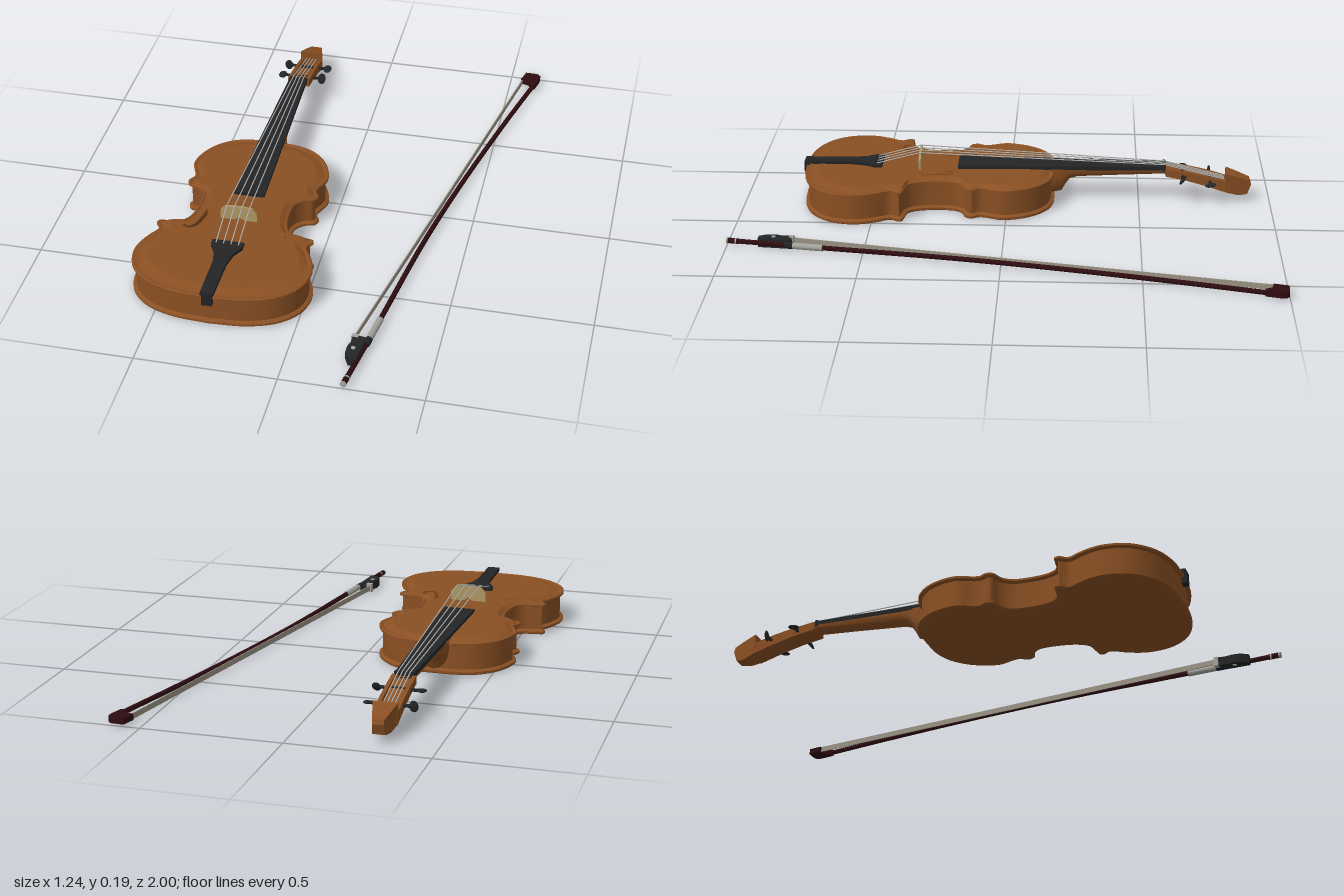
import * as THREE from 'three';
import { toCreasedNormals } from 'three/addons/utils/BufferGeometryUtils.js';

const V2 = (x, y) => new THREE.Vector2(x, y);
const V3 = (x, y, z) => new THREE.Vector3(x, y, z);
const mat = (name, color, side = THREE.FrontSide) => {
  const m = new THREE.MeshStandardMaterial({ color, side });
  m.name = name;
  return m;
};

// Closed loops of points joined into a skin
function loft(rings, crease = 0.7) {
  const n = rings[0].length, pos = [], idx = [];
  rings.forEach(r => r.forEach(p => pos.push(p.x, p.y, p.z)));
  for (let i = 0; i < rings.length - 1; i++) {
    for (let j = 0; j < n; j++) {
      const a = i * n + j, b = i * n + (j + 1) % n;
      idx.push(a, a + n, b, b, a + n, b + n);
    }
  }
  const g = new THREE.BufferGeometry();
  g.setAttribute('position', new THREE.Float32BufferAttribute(pos, 3));
  g.setIndex(idx);
  return toCreasedNormals(g, crease);
}

const shapeXZ = pts => new THREE.Shape(pts.map(([x, z]) => V2(x, -z)));

// Plate outlined in x, z between two heights
function slab(pts, y0, y1) {
  return new THREE.ExtrudeGeometry(shapeXZ(pts), { depth: y1 - y0, bevelEnabled: false })
    .rotateX(-Math.PI / 2).translate(0, y0, 0);
}

// Plate outlined in z, y with a thickness along x
function sidePlate(pts, width, x = 0) {
  const s = new THREE.Shape(pts.map(([z, y]) => V2(z, y)));
  return new THREE.ExtrudeGeometry(s, { depth: width, bevelEnabled: false })
    .translate(0, 0, -width / 2).rotateY(-Math.PI / 2).translate(x, 0, 0);
}

function rod(a, b, r0, r1 = r0, sides = 10) {
  const d = b.clone().sub(a);
  const g = new THREE.CylinderGeometry(r1, r0, d.length(), sides);
  g.applyQuaternion(new THREE.Quaternion().setFromUnitVectors(V3(0, 1, 0), d.clone().normalize()));
  const c = a.clone().add(b).multiplyScalar(0.5);
  return g.translate(c.x, c.y, c.z);
}

const mirrored = pts => [...pts, ...pts.slice().reverse().map(([x, z]) => [-x, z])];

export function createModel() {
  const wood = mat('varnished wood', 0x8a5023, THREE.DoubleSide);
  const ebony = mat('ebony', 0x222426);
  const maple = mat('pale maple', 0xb09865);
  const steel = mat('string steel', 0xb4b4b2);
  const stickWood = mat('dark red wood', 0x2e0c10);
  const silver = mat('silver', 0xa3a39c);
  const hairMat = mat('bow hair', 0x9a9284, THREE.DoubleSide);

  const model = new THREE.Group();
  const violin = new THREE.Group(), bow = new THREE.Group();
  violin.name = 'violin';
  bow.name = 'bow';
  violin.position.x = -0.3;
  model.add(violin, bow);
  const add = (parent, name, geo, material) => {
    const m = new THREE.Mesh(geo, material);
    m.name = name;
    parent.add(m);
    return m;
  };

  // Body outline: one half as a spline, then mirrored
  const half = new THREE.CatmullRomCurve3([
    [0, -0.178], [0.08, -0.175], [0.15, -0.155], [0.21, -0.105], [0.245, -0.04], [0.255, 0.02], [0.23, 0.095],
    [0.245, 0.127], [0.235, 0.153], [0.2, 0.165], [0.173, 0.195], [0.166, 0.25], [0.177, 0.33], [0.203, 0.368],
    [0.256, 0.38], [0.283, 0.386], [0.287, 0.402], [0.27, 0.43], [0.293, 0.475], [0.315, 0.53], [0.32, 0.585],
    [0.298, 0.66], [0.235, 0.725], [0.135, 0.763], [0, 0.775],
  ].map(([x, z]) => V3(x, 0, z)), false, 'centripetal').getPoints(120);
  const outline = [...half, ...half.slice(1, -1).reverse().map(p => V3(-p.x, 0, p.z))];
  const N = outline.length;

  // Outline moved outward by a distance
  const ring = (off, y) => outline.map((p, i) => {
    const t = outline[(i + 1) % N].clone().sub(outline[(i + N - 1) % N]).normalize();
    return V3(p.x + t.z * off, y, p.z - t.x * off);
  });
  // Outline shrunk toward the middle for the arching
  const shrunk = (s, y) => outline.map(({ x, z }) =>
    V3(x * s, y, z < 0.1 ? 0.1 + (z - 0.1) * s : z > 0.45 ? 0.45 + (z - 0.45) * s : z));
  const flat = (r, y, holes = []) => {
    const s = shapeXZ(r.map(p => [p.x, p.z]));
    s.holes = holes;
    return new THREE.ShapeGeometry(s).rotateX(-Math.PI / 2).translate(0, y, 0);
  };

  add(violin, 'backPlateEdge', loft([ring(-0.006, 0.002), ring(0, 0.006), ring(0, 0.014), ring(-0.013, 0.02)]), wood);
  add(violin, 'backPlate', flat(ring(-0.006, 0), 0.002), wood);
  add(violin, 'ribs', loft([ring(-0.013, 0.018), ring(-0.013, 0.11)]), wood);
  add(violin, 'topPlateEdge', loft([
    ring(-0.013, 0.108), ring(0, 0.113), ring(0, 0.12), ring(-0.005, 0.123),
    shrunk(0.94, 0.119), shrunk(0.89, 0.125), shrunk(0.83, 0.13),
  ]), wood);

  // Sound holes cut through the top
  const fCurve = new THREE.CatmullRomCurve3([
    [0.087, 0.238], [0.08, 0.222], [0.095, 0.21], [0.112, 0.225], [0.119, 0.28], [0.128, 0.345],
    [0.145, 0.4], [0.168, 0.415], [0.188, 0.4], [0.184, 0.382], [0.17, 0.382],
  ].map(([x, z]) => V3(x, 0, z)));
  const soundHole = side => {
    const a = [], b = [], n = 48;
    for (let i = 0; i <= n; i++) {
      const p = fCurve.getPointAt(i / n), t = fCurve.getTangentAt(i / n);
      const w = 0.0045 + 0.003 * Math.sin(Math.PI * i / n);
      a.push(V2(side * (p.x + t.z * w), -(p.z - t.x * w)));
      b.push(V2(side * (p.x - t.z * w), -(p.z + t.x * w)));
    }
    return new THREE.Path([...a, ...b.reverse()]);
  };
  add(violin, 'topPlate', flat(shrunk(0.83, 0), 0.13, [soundHole(1), soundHole(-1)]), wood);

  // Neck with a rounded underside and heel
  const neckRows = [[-0.165, 0.022, 0.05], [-0.205, 0.03, 0.048], [-0.218, 0.055, 0.045], [-0.235, 0.08, 0.042],
    [-0.265, 0.09, 0.04], [-0.42, 0.098, 0.036], [-0.6, 0.107, 0.034], [-0.61, 0.107, 0.034]];
  add(violin, 'neck', loft(neckRows.map(([z, bottom, w]) =>
    Array.from({ length: 13 }, (_, k) => {
      const a = Math.PI * k / 12;
      return V3(-w * Math.cos(a), 0.13 - (0.13 - bottom) * Math.pow(Math.sin(a), 0.7), z);
    }))), wood);

  // Fingerboard and nut
  add(violin, 'fingerboard', slab(mirrored([[0.034, -0.59], [0.057, 0.19]]), 0.127, 0.142), ebony);
  add(violin, 'nut', new THREE.BoxGeometry(0.07, 0.022, 0.012).translate(0, 0.134, -0.596), ebony);

  // Pegbox: two cheeks and a floor
  const under = [[-0.845, 0.04], [-0.76, 0.068], [-0.68, 0.09], [-0.6, 0.106]];
  const cheek = [[-0.6, 0.136], [-0.68, 0.123], [-0.76, 0.106], [-0.845, 0.082], ...under];
  for (const s of [1, -1]) add(violin, 'pegboxCheek', sidePlate(cheek, 0.013, s * 0.036), wood);
  add(violin, 'pegboxFloor', sidePlate([...under.map(([z, y]) => [z, y + 0.017]).reverse(), ...under], 0.062), wood);

  // Scroll, narrowing to its end
  const scroll = sidePlate([[-0.832, 0.118], [-0.865, 0.108], [-0.922, 0.088], [-0.928, 0.07], [-0.914, 0.032],
    [-0.88, 0.03], [-0.832, 0.045]], 0.088);
  const sp = scroll.attributes.position;
  for (let i = 0; i < sp.count; i++) {
    sp.setX(i, sp.getX(i) * THREE.MathUtils.mapLinear(sp.getZ(i), -0.832, -0.928, 1, 0.45));
  }
  scroll.computeVertexNormals();
  add(violin, 'scroll', scroll, wood);

  // Tuning pegs: shaft and flattened thumb piece, each turned differently
  [[-0.77, 0.087, 1, 0.2], [-0.77, 0.087, -1, 1.5], [-0.665, 0.107, -1, 0.1], [-0.665, 0.107, 1, 1.0]]
    .forEach(([z, y, s, turn]) => {
      add(violin, 'pegShaft', rod(V3(0, y, z), V3(s * 0.075, y, z), 0.006), ebony);
      const knob = new THREE.SphereGeometry(1, 14, 10).scale(0.016, 0.006, 0.021).rotateX(turn);
      add(violin, 'pegHead', knob.translate(s * 0.079, y, z), ebony);
    });

  // Tailpiece and its end over the lower edge
  add(violin, 'tailpiece', slab(mirrored([[0.057, 0.48], [0.057, 0.508], [0.036, 0.545], [0.025, 0.6], [0.023, 0.78]]),
    0.129, 0.142), ebony);
  add(violin, 'tailEnd', new THREE.BoxGeometry(0.036, 0.045, 0.02).translate(0, 0.113, 0.773), ebony);

  // Bridge
  const bridge = new THREE.Shape([V2(-0.067, 0.128), V2(-0.02, 0.128), V2(0, 0.142), V2(0.02, 0.128), V2(0.067, 0.128),
    V2(0.067, 0.163), V2(0.05, 0.184), V2(0.02, 0.187), V2(-0.02, 0.187), V2(-0.05, 0.184), V2(-0.067, 0.163)]);
  add(violin, 'bridge', new THREE.ExtrudeGeometry(bridge, { depth: 0.008, bevelEnabled: false }).translate(0, 0, 0.331), maple);

  // Strings over bridge and nut into the pegbox
  for (let i = 0; i < 4; i++) {
    const u = i - 1.5;
    const pts = [V3(u * 0.027, 0.143, 0.5), V3(u * 0.028, 0.188, 0.335), V3(u * 0.014, 0.146, -0.596), V3(u * 0.013, 0.09, -0.825)];
    for (let k = 0; k < 3; k++) add(violin, 'string', rod(pts[k], pts[k + 1], 0.0022, 0.0022, 6), steel);
  }

  // Bow stick
  const stick = new THREE.CatmullRomCurve3([[0.229, 0.965], [0.243, 0.875], [0.28, 0.635], [0.348, 0.185],
    [0.42, -0.185], [0.517, -0.61], [0.596, -0.925]].map(([x, z]) => V3(x, 0.02, z)));
  add(bow, 'stick', new THREE.TubeGeometry(stick, 60, 0.009, 10), stickWood);
  add(bow, 'endButton', rod(V3(0.23, 0.02, 0.955), V3(0.223, 0.02, 1), 0.0105), stickWood);
  for (const z of [0.963, 0.995]) {
    const x = 0.229 - (z - 0.963) * 0.15;
    add(bow, 'buttonRing', rod(V3(x, 0.02, z), V3(x - 0.001, 0.02, z + 0.006), 0.0115), silver);
  }
  add(bow, 'gripWinding', rod(V3(0.262, 0.02, 0.755), V3(0.279, 0.02, 0.645), 0.012), silver);
  add(bow, 'leatherGrip', rod(V3(0.258, 0.02, 0.785), V3(0.262, 0.02, 0.755), 0.0125), ebony);

  // Bow head, frog and hair
  add(bow, 'bowHead', slab([[0.557, -1], [0.604, -0.998], [0.617, -0.985], [0.615, -0.965], [0.602, -0.915],
    [0.587, -0.915], [0.575, -0.94], [0.543, -0.948]], 0.009, 0.031), stickWood);
  add(bow, 'frog', slab([[0.208, 0.76], [0.255, 0.768], [0.243, 0.885], [0.215, 0.885], [0.2, 0.855], [0.2, 0.825],
    [0.208, 0.8]], 0.004, 0.036), ebony);
  add(bow, 'ferrule', slab([[0.206, 0.755], [0.228, 0.758], [0.226, 0.775], [0.203, 0.772]], 0.003, 0.037), silver);
  for (const y of [0.0035, 0.0365]) {
    add(bow, 'frogEye', new THREE.CylinderGeometry(0.008, 0.008, 0.003, 16).translate(0.222, y, 0.83), silver);
  }
  add(bow, 'hair', slab([[0.209, 0.765], [0.213, 0.765], [0.551, -0.945], [0.547, -0.945]], 0.01, 0.03), hairMat);

  return model;
}
